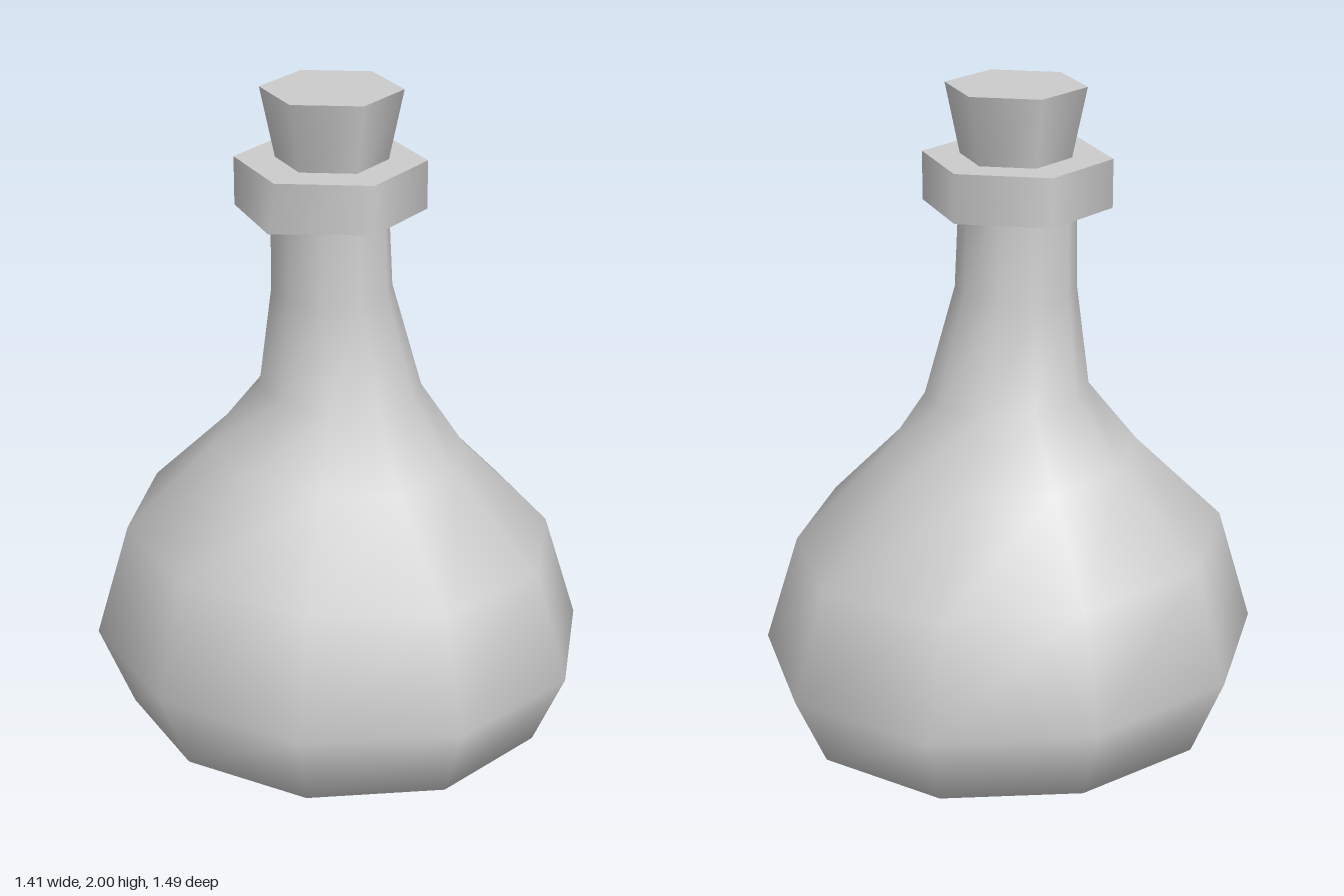
import * as THREE from 'three';

const SIDES = 10;

// Slightly uneven radius for each side, starting at +z and turning towards +x
const WOBBLE = [1, 0.97, 0.95, 1.01, 1.02, 1.01, 1.02, 1, 0.98, 0.99];

// Body rings from base to neck: [y, radius, centre x, centre z, slope of y along x]
const RINGS = [
  [0.00, 0.38, 0, 0.015, 0],
  [0.12, 0.64, 0, 0, -0.01],
  [0.35, 0.74, 0, 0, -0.03],
  [0.675, 0.64, 0, -0.005, -0.05],
  [0.93, 0.38, -0.005, -0.015, -0.055],
  [1.115, 0.242, 0, -0.018, -0.05],
  [1.42, 0.178, -0.028, -0.02, 0],
  [1.70, 0.17, -0.033, -0.022, 0],
];

// Smooth skin over the rings, closed at the base
function bodyGeometry() {
  const positions = [];
  const index = [];
  for (const [y, r, cx, cz, slope] of RINGS) {
    for (let j = 0; j < SIDES; j++) {
      const a = (j / SIDES) * Math.PI * 2;
      const x = cx + Math.sin(a) * r * WOBBLE[j];
      const z = cz + Math.cos(a) * r * WOBBLE[j];
      positions.push(x, y + slope * x, z);
    }
  }
  const centre = positions.length / 3;
  positions.push(0, 0, 0.015);
  for (let j = 0; j < SIDES; j++) {
    const k = (j + 1) % SIDES;
    index.push(centre, k, j);
    for (let i = 0; i < RINGS.length - 1; i++) {
      const low = i * SIDES;
      const high = low + SIDES;
      index.push(low + j, low + k, high + k, low + j, high + k, high + j);
    }
  }
  const geometry = new THREE.BufferGeometry();
  geometry.setAttribute('position', new THREE.Float32BufferAttribute(positions, 3));
  geometry.setIndex(index);
  geometry.computeVertexNormals();
  return geometry;
}

export function createModel() {
  const group = new THREE.Group();
  const material = new THREE.MeshStandardMaterial({ color: 0xcccccc });

  const add = (name, geometry, x = 0, y = 0, z = 0) => {
    const mesh = new THREE.Mesh(geometry, material);
    mesh.name = name;
    mesh.position.set(x, y, z);
    group.add(mesh);
  };

  add('bottleBody', bodyGeometry());

  // Hexagonal lip, with one lower corner pulled outwards
  const lip = new THREE.CylinderGeometry(0.27, 0.27, 0.14, 6);
  const p = lip.attributes.position;
  for (let i = 0; i < p.count; i++) {
    if (p.getY(i) < 0 && p.getX(i) < -0.1 && p.getZ(i) > 0.05) p.setX(i, p.getX(i) - 0.02);
  }
  lip.computeBoundingSphere();
  add('lip', lip, -0.035, 1.73, -0.022);

  // Tapered hexagonal stopper, sunk a little into the lip
  add('stopper', new THREE.CylinderGeometry(0.2, 0.15, 0.24, 6), -0.03, 1.88, -0.024);

  return group;
}
